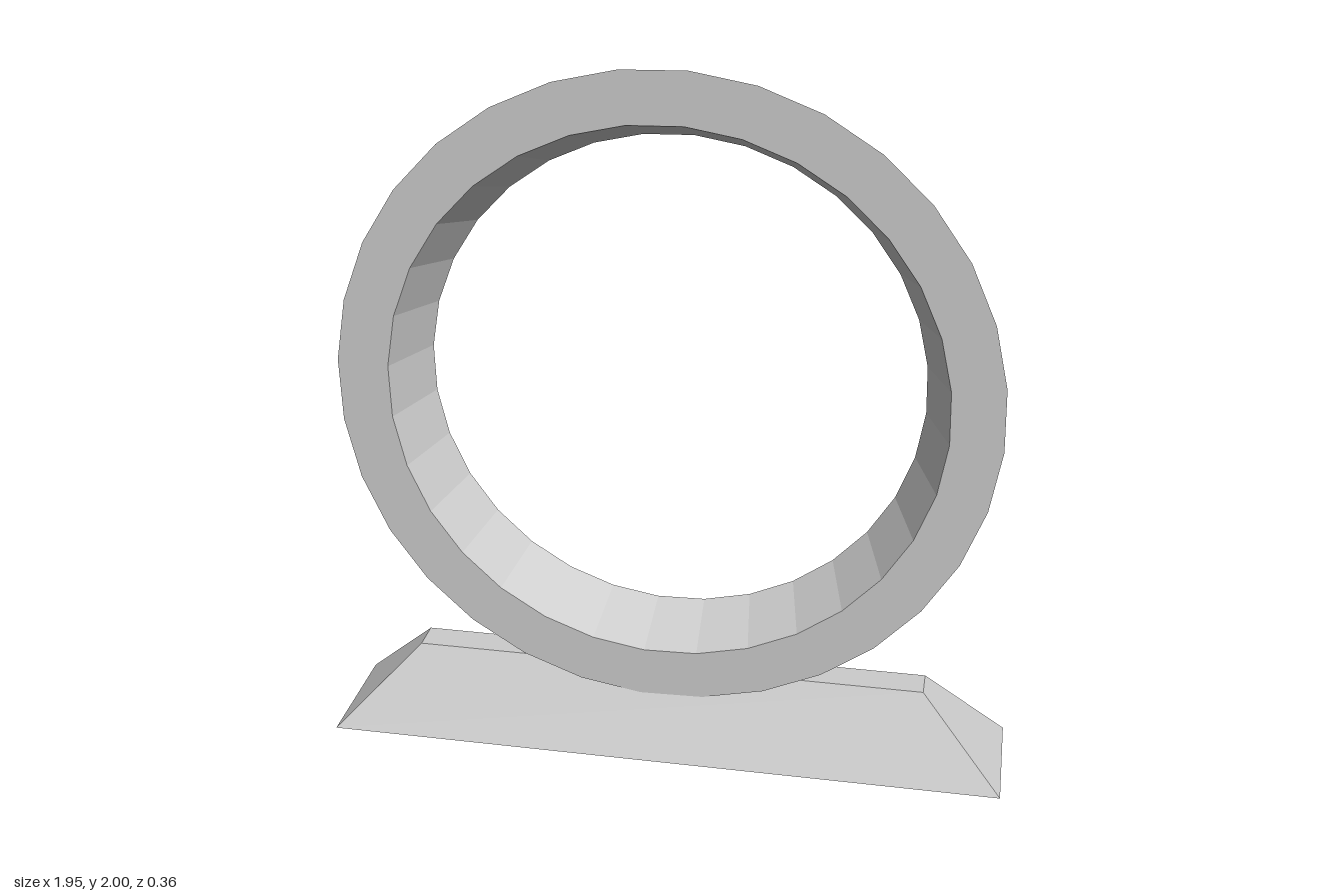
import * as THREE from 'three';

const material = new THREE.MeshStandardMaterial({ color: 0xcccccc, flatShading: true });

// Conical hoop with a slanted rectangular section, wider at the front
function createRing() {
  const back = -0.105, front = 0.085;
  const section = [
    [0.85, back], [0.917, front], [0.773, front], [0.7, back], [0.85, back],
  ].map(([r, z]) => new THREE.Vector2(r, z));
  const geometry = new THREE.LatheGeometry(section, 32, THREE.MathUtils.degToRad(-4.1));
  geometry.rotateX(Math.PI / 2);
  const ring = new THREE.Mesh(geometry, material);
  ring.name = 'ring';
  ring.position.set(-0.003, 1.083, 0);
  return ring;
}

// Box whose top corners are pulled inwards
function createBase() {
  const height = 0.237;
  const geometry = new THREE.BoxGeometry(1.95, height, 0.362);
  geometry.translate(0, height / 2, 0);
  const p = geometry.attributes.position;
  for (let i = 0; i < p.count; i++) {
    if (p.getY(i) > height / 2) {
      p.setX(i, Math.sign(p.getX(i)) * 0.74);
      p.setZ(i, Math.sign(p.getZ(i)) * 0.046);
    }
  }
  geometry.computeVertexNormals();
  const base = new THREE.Mesh(geometry, material);
  base.name = 'base';
  return base;
}

export function createModel() {
  const model = new THREE.Group();
  model.name = 'ringOnStand';
  model.add(createRing(), createBase());
  return model;
}
